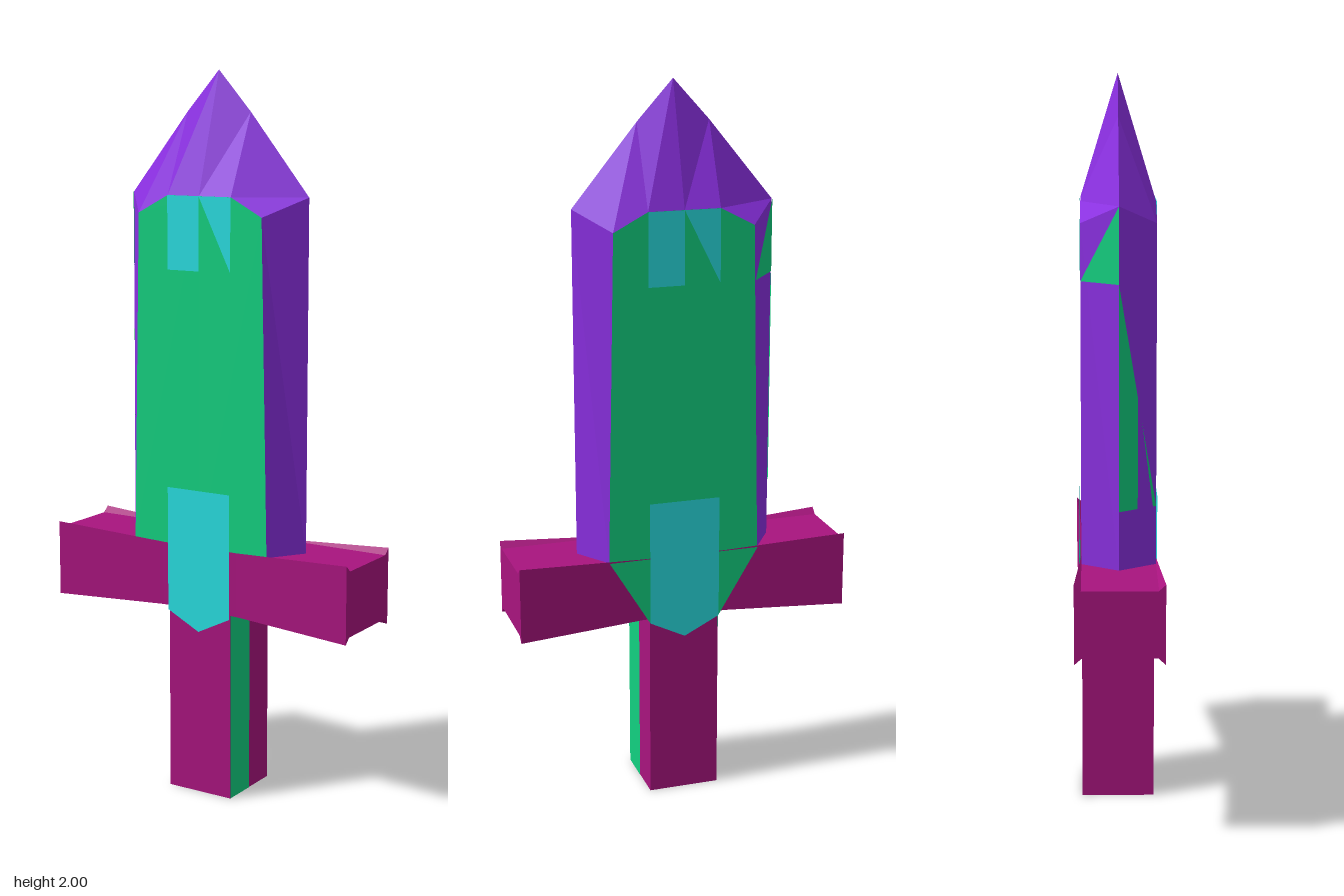
import * as THREE from 'three';

const mat = (color) => new THREE.MeshStandardMaterial({ color, flatShading: true, side: THREE.DoubleSide });

// Mesh made of flat convex polygons, each a list of [x, y, z] corners
function facets(name, material, polygons) {
  const pos = [];
  for (const p of polygons) {
    for (let i = 1; i < p.length - 1; i++) pos.push(...p[0], ...p[i], ...p[i + 1]);
  }
  const g = new THREE.BufferGeometry();
  g.setAttribute('position', new THREE.Float32BufferAttribute(pos, 3));
  g.computeVertexNormals();
  const mesh = new THREE.Mesh(g, material);
  mesh.name = name;
  return mesh;
}

// Repeat polygons of the +x +z quarter in all four quarters, keeping them facing outward
function fourWay(polygons) {
  const out = [];
  for (const sx of [1, -1]) for (const sz of [1, -1]) {
    for (const poly of polygons) {
      const p = poly.map(([x, y, z]) => [x * sx, y, z * sz]);
      out.push(sx * sz < 0 ? p.reverse() : p);
    }
  }
  return out;
}

// Flat outline placed at depth z
const flat = (points, z) => points.map(([x, y]) => [x, y, z]);

export function createModel() {
  const group = new THREE.Group();
  const purple = mat(0x8a2fe0), green = mat(0x12d080), magenta = mat(0xa8147e), cyan = mat(0x28dde0);

  // Blade corners in one quarter
  const edgeLow = [0.28, 0.71, 0], edgeTop = [0.28, 1.67, 0];
  const faceLow = [0.215, 0.71, 0.1], faceTop = [0.195, 1.62, 0.1];
  const shoulder = [0.1, 1.67, 0.1], middle = [0, 1.67, 0.1], middleLow = [0, 0.71, 0.1];
  const ridge = [0.1, 1.89, 0], apex = [0, 2, 0];

  // Bevelled cutting edges and pointed tip
  group.add(facets('bladeEdges', purple, fourWay([
    [edgeLow, edgeTop, faceTop, faceLow],
  ])));
  group.add(facets('bladeTip', purple, fourWay([
    [edgeTop, ridge, shoulder, faceTop],
    [ridge, apex, middle, shoulder],
  ])));

  // Broad flat faces of the blade
  group.add(facets('bladeFaces', green, fourWay([
    [middleLow, faceLow, faceTop, shoulder, middle],
  ])));

  // Tapered root of the blade lying over the back of the guard
  group.add(facets('bladeRoot', green, [
    flat([[0.215, 0.71], [0.1, 0.52], [0, 0.47], [-0.1, 0.52], [-0.215, 0.71]], -0.105),
  ]));

  // Coloured triangles on the right-hand edges
  group.add(facets('edgeAccents', green, [
    [[-0.282, 1.47, 0], [-0.282, 0.87, 0], [-0.213, 0.87, 0.1]],
    [[-0.282, 1.67, 0], [-0.282, 1.47, 0], [-0.2, 1.47, -0.1]],
  ]));

  // Inlays, the same on front and back by a half turn
  const lowerInlay = [[-0.1, 0.87], [-0.1, 0.52], [0, 0.47], [0.1, 0.52], [0.1, 0.87]];
  const squareInlay = [[-0.1, 1.67], [-0.1, 1.47], [0, 1.47], [0, 1.67]];
  const cornerInlay = [[0, 1.67], [0.1, 1.47], [0.1, 1.67]];
  for (const [side, turn] of [['front', 0], ['back', Math.PI]]) {
    const lower = facets(side + 'LowerInlay', cyan, [flat(lowerInlay, 0.107)]);
    const upper = facets(side + 'UpperInlay', cyan, [flat(squareInlay, 0.102), flat(cornerInlay, 0.102)]);
    lower.rotation.y = upper.rotation.y = turn;
    group.add(lower, upper);
  }

  // Crossguard: square bar whose four corners flare out toward the ends
  const ring = (x, flare) => {
    const y = 0.09 + 0.017 * flare, z = 0.1 + 0.018 * flare;
    return [[0.09, 0.1], [y, z], [-y, z], [-0.09, 0.1], [-0.09, -0.1], [-y, -z], [y, -z], [0.09, -0.1]]
      .map(([h, d]) => [x, 0.62 + h, d]);
  };
  const rings = [ring(-0.47, 1), ring(-0.12, 0), ring(0.12, 0), ring(0.47, 1)];
  const guard = [];
  for (let i = 0; i < 8; i++) {
    const j = (i + 1) % 8;
    for (let k = 0; k < 3; k++) guard.push([rings[k][i], rings[k][j], rings[k + 1][j], rings[k + 1][i]]);
    guard.push([[-0.47, 0.62, 0], rings[0][j], rings[0][i]], [[0.47, 0.62, 0], rings[3][i], rings[3][j]]);
  }
  group.add(facets('crossguard', magenta, guard));

  // Handle
  const handle = new THREE.Mesh(new THREE.BoxGeometry(0.2, 0.55, 0.2), magenta);
  handle.position.y = 0.275;
  handle.name = 'handle';
  group.add(handle);

  // Coloured strip and chip on the handle sides
  group.add(facets('handleAccents', green, [
    [[0.101, 0, 0.1], [0.101, 0, 0], [0.101, 0.53, 0], [0.101, 0.53, 0.1]],
    [[-0.101, 0.53, -0.1], [-0.101, 0.48, -0.1], [-0.101, 0.53, -0.03]],
  ]));

  return group;
}
